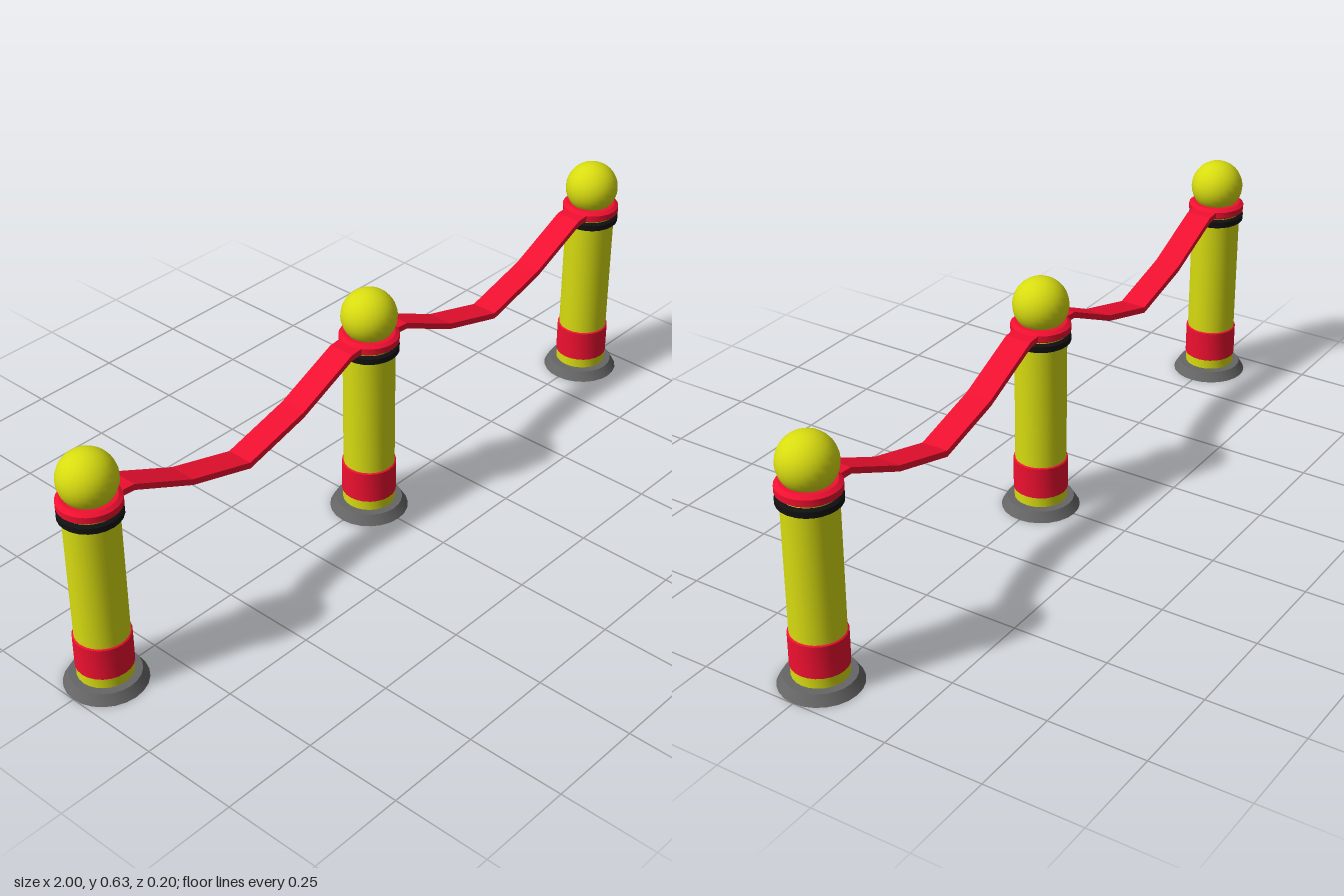
import * as THREE from 'three';
import { toCreasedNormals } from 'three/addons/utils/BufferGeometryUtils.js';

const SEGMENTS = 24;
const yellow = new THREE.MeshStandardMaterial({ color: 0xd8dc10 });
const red = new THREE.MeshStandardMaterial({ color: 0xf01030 });
const black = new THREE.MeshStandardMaterial({ color: 0x111111 });
const darkGrey = new THREE.MeshStandardMaterial({ color: 0x666666 });

// Turned part from [radius, height] pairs, with crisp rims
function turned(name, profile, material) {
  const points = profile.map(([r, y]) => new THREE.Vector2(r, y));
  const geometry = toCreasedNormals(new THREE.LatheGeometry(points, SEGMENTS), 0.5);
  const mesh = new THREE.Mesh(geometry, material);
  mesh.name = name;
  return mesh;
}

// Collar with bevelled rims
function collar(name, y0, y1, r, bevel, material) {
  return turned(name, [
    [0, y0], [r - bevel, y0], [r, y0 + bevel * 0.7],
    [r, y1 - bevel * 0.7], [r - bevel, y1], [0, y1],
  ], material);
}

function createPost(x) {
  const post = new THREE.Group();
  post.name = 'post';
  post.add(
    turned('base', [[0, 0], [0.1, 0], [0.085, 0.025], [0, 0.025]], darkGrey),
    collar('foot', 0.025, 0.06, 0.067, 0.003, yellow),
    collar('lowerBand', 0.052, 0.14, 0.069, 0.003, red),
    turned('pole', [[0.065, 0.06], [0.065, 0.47]], yellow),
    collar('blackCollar', 0.465, 0.488, 0.075, 0.006, black),
    turned('neck', [[0.065, 0.48], [0.065, 0.495]], yellow),
    collar('redCollar', 0.49, 0.52, 0.075, 0.01, red),
  );

  const ball = new THREE.Mesh(new THREE.SphereGeometry(0.07, SEGMENTS, 16), yellow);
  ball.name = 'ball';
  ball.position.y = 0.564;
  post.add(ball);

  post.position.x = x;
  return post;
}

// Flat sagging strap, drawn from the side and extruded across its width
function createStrap(x) {
  const width = 0.07, half = 0.008;
  const right = [[0, 0.374], [0.18, 0.424], [0.35, 0.503], [0.39, 0.506]];
  const left = right.slice(1).reverse().map(([px, py]) => [-px, py]);
  const line = [...left, ...right];
  const outline = [
    ...line.map(([px, py]) => new THREE.Vector2(px, py - half)),
    ...line.slice().reverse().map(([px, py]) => new THREE.Vector2(px, py + half)),
  ];
  const geometry = new THREE.ExtrudeGeometry(new THREE.Shape(outline), {
    depth: width, bevelEnabled: false,
  });
  geometry.translate(x, 0, -width / 2);
  const mesh = new THREE.Mesh(geometry, red);
  mesh.name = 'strap';
  return mesh;
}

export function createModel() {
  const model = new THREE.Group();
  model.name = 'barrier';
  for (const x of [-0.9, 0, 0.9]) model.add(createPost(x));
  for (const x of [-0.45, 0.45]) model.add(createStrap(x));
  return model;
}
